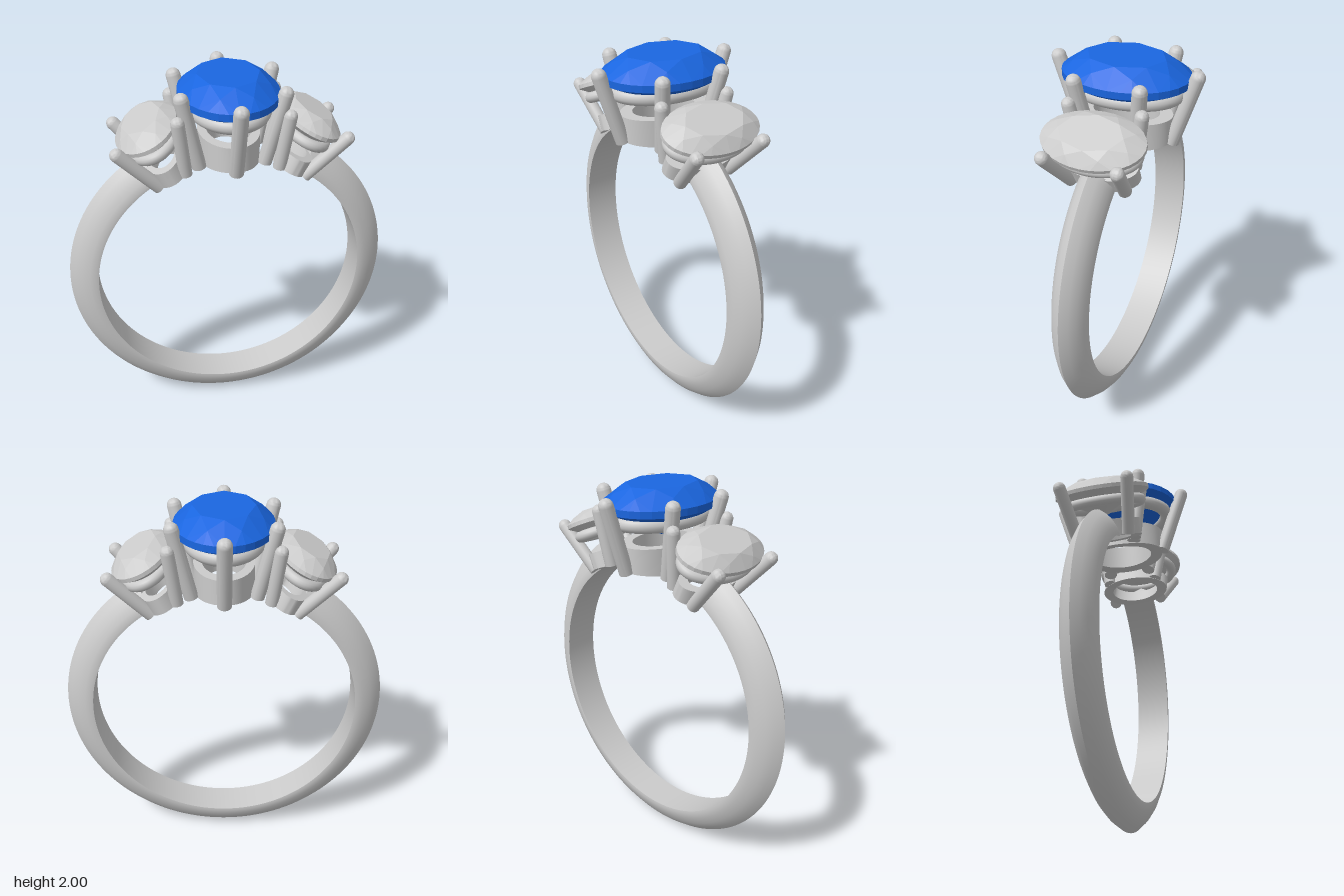
import * as THREE from 'three';
import { toCreasedNormals } from 'three/addons/utils/BufferGeometryUtils.js';
import { ConvexGeometry } from 'three/addons/geometries/ConvexGeometry.js';

const CENTRE = 0.865, INNER = 0.715, BAND_GAP = THREE.MathUtils.degToRad(31);
const metal = new THREE.MeshStandardMaterial({ color: 0xcccccc });
const metalThin = new THREE.MeshStandardMaterial({ color: 0xcccccc, side: THREE.DoubleSide });
const clearStone = new THREE.MeshStandardMaterial({ color: 0xcccccc, flatShading: true });
const blueStone = new THREE.MeshStandardMaterial({ color: 0x1a66e0, flatShading: true });
const V = (x, y, z) => new THREE.Vector3(x, y, z);

function add(parent, name, geometry, material) {
  const mesh = new THREE.Mesh(geometry, material);
  mesh.name = name;
  parent.add(mesh);
  return mesh;
}

// Oval brilliant: table, crown, girdle, pavilion and culet as a convex hull
function gemGeometry({ a, b, table, girdleTop, girdleBottom, culet }) {
  const pts = [V(0, culet, 0)];
  const ring = (n, scale, y, offset) => {
    for (let i = 0; i < n; i++) {
      const t = ((i + offset) / n) * Math.PI * 2;
      pts.push(V(a * scale * Math.cos(t), y, b * scale * Math.sin(t)));
    }
  };
  const crown = table - girdleTop, depth = girdleBottom - culet;
  ring(8, 0.62, table, 0);
  ring(8, 0.82, girdleTop + crown * 0.57, 0.5);
  ring(32, 1, girdleTop, 0);
  ring(32, 1, girdleBottom, 0);
  ring(8, 0.4, girdleBottom - depth * 0.64, 0.5);
  return new ConvexGeometry(pts);
}

// Oval collar whose lower edge follows the finger hole
function collarGeometry({ a, b, top, wall }) {
  const inner = 1 - wall;
  const profile = [[inner, 1], [inner, 0], [1, 0], [1, 1], [inner, 1]];
  const geo = new THREE.LatheGeometry(profile.map(p => new THREE.Vector2(...p)), 64);
  const pos = geo.attributes.position;
  for (let i = 0; i < pos.count; i++) {
    const x = pos.getX(i) * a;
    const y = pos.getY(i) > 0.5 ? top : Math.sqrt(INNER * INNER - x * x);
    pos.setXYZ(i, x, y, pos.getZ(i) * b);
  }
  return toCreasedNormals(geo, 0.6);
}

// Oval wire rail under the stone
function railGeometry({ a, b, y, r }) {
  const pts = [];
  for (let i = 0; i < 32; i++) {
    const t = (i / 32) * Math.PI * 2;
    pts.push(V(a * Math.cos(t), y, b * Math.sin(t)));
  }
  return new THREE.TubeGeometry(new THREE.CatmullRomCurve3(pts, true), 96, r, 14, true);
}

// Round prong with a flat foot and a domed tip
function addProng(parent, foot, tip, r) {
  const dir = tip.clone().sub(foot), length = dir.length();
  const profile = [new THREE.Vector2(0, 0), new THREE.Vector2(r, 0)];
  for (let i = 0; i <= 8; i++) {
    const t = (i / 8) * Math.PI / 2;
    profile.push(new THREE.Vector2(i === 8 ? 0 : r * Math.cos(t), length + r * Math.sin(t)));
  }
  const geo = toCreasedNormals(new THREE.LatheGeometry(profile, 20), 0.6);
  const mesh = add(parent, 'prong', geo, metal);
  mesh.position.copy(foot);
  mesh.quaternion.setFromUnitVectors(V(0, 1, 0), dir.normalize());
}

// One setting, measured from the ring centre and leaning by tilt
function makeSetting(name, tilt, spec) {
  const group = new THREE.Group();
  group.name = name;
  group.position.y = CENTRE;
  group.rotation.z = -tilt;
  add(group, 'stone', gemGeometry(spec.gem), spec.material);
  add(group, 'collar', collarGeometry(spec.collar), metal);
  add(group, 'rail', railGeometry(spec.rail), metal);
  for (const { foot, tip, r } of spec.prongs) {
    for (const sx of foot[0] ? [1, -1] : [1]) {
      for (const sz of [1, -1]) {
        addProng(group, V(foot[0] * sx, foot[1], foot[2] * sz), V(tip[0] * sx, tip[1], tip[2] * sz), r);
      }
    }
  }
  return group;
}

// Band: flat inside, gothic arch outside, open at the top
function makeBand() {
  const group = new THREE.Group();
  group.name = 'band';
  const half = [[0.715, 0.093], [0.73, 0.094], [0.76, 0.086], [0.8, 0.066], [0.835, 0.038]];
  const profile = [
    ...half.map(([r, z]) => new THREE.Vector2(r, -z)),
    new THREE.Vector2(0.865, 0),
    ...half.map(([r, z]) => new THREE.Vector2(r, z)).reverse(),
  ];
  const closed = [...profile, profile[0].clone()];
  const sweep = Math.PI - BAND_GAP;
  const geo = new THREE.LatheGeometry(closed, 128, -sweep, sweep * 2);
  geo.rotateX(Math.PI / 2);
  add(group, 'hoop', toCreasedNormals(geo, 0.6), metal);
  for (const s of [1, -1]) {
    const cap = new THREE.ShapeGeometry(new THREE.Shape(profile));
    const out = V(s * Math.sin(BAND_GAP), Math.cos(BAND_GAP), 0), side = V(0, 0, 1);
    cap.applyMatrix4(new THREE.Matrix4().makeBasis(out, side, out.clone().cross(side)));
    add(group, 'bandEnd', cap, metalThin);
  }
  group.position.y = CENTRE;
  return group;
}

export function createModel() {
  const ring = new THREE.Group();
  ring.name = 'threeStoneRing';
  ring.add(makeBand());

  ring.add(makeSetting('centreSetting', 0, {
    material: blueStone,
    gem: { a: 0.25, b: 0.325, table: 1.135, girdleTop: 1.055, girdleBottom: 1.02, culet: 0.865 },
    collar: { a: 0.155, b: 0.24, top: 0.845, wall: 0.28 },
    rail: { a: 0.175, b: 0.265, y: 0.968, r: 0.036 },
    prongs: [
      { foot: [0, 0.715, 0.242], tip: [0, 1.073, 0.36], r: 0.037 },
      { foot: [0.165, 0.7, 0.115], tip: [0.25, 1.073, 0.165], r: 0.037 },
    ],
  }));

  // Side settings lean outward and mirror each other
  const side = {
    material: clearStone,
    gem: { a: 0.168, b: 0.26, table: 1.028, girdleTop: 0.975, girdleBottom: 0.955, culet: 0.835 },
    collar: { a: 0.1, b: 0.195, top: 0.8, wall: 0.3 },
    rail: { a: 0.118, b: 0.21, y: 0.9, r: 0.028 },
    prongs: [{ foot: [0.072, 0.713, 0.14], tip: [0.162, 0.99, 0.185], r: 0.034 }],
  };
  const tilt = THREE.MathUtils.degToRad(25);
  ring.add(makeSetting('leftSetting', tilt, side));
  ring.add(makeSetting('rightSetting', -tilt, side));
  return ring;
}
